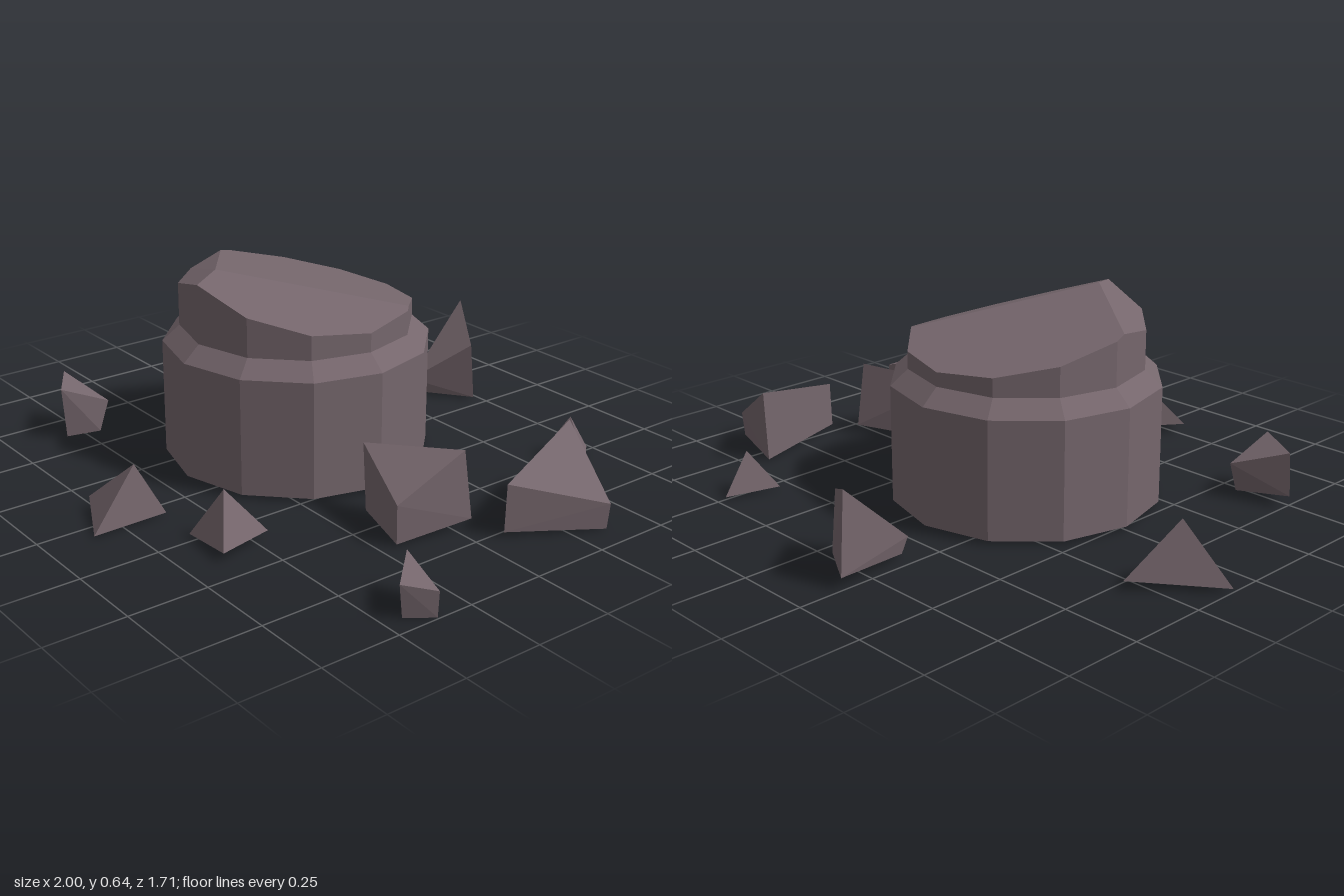
import * as THREE from 'three';
import { ConvexGeometry } from 'three/addons/geometries/ConvexGeometry.js';

const stone = new THREE.MeshStandardMaterial({ color: 0x75666c, flatShading: true });
stone.name = 'dusty stone';

// Three sloping break planes meet at the peak of the stump
const PEAK = [-0.15, 0.64, 0.27];
const SLOPES = [[-0.008, 0.25], [-0.345, 0], [0.39, -0.3]];
const breakHeight = (x, z) => Math.min(
  ...SLOPES.map(([a, b]) => PEAK[1] + a * (x - PEAK[0]) + b * (z - PEAK[2])));

// Twelve-sided column stump, lofted from one ring and capped with the break
function columnStump() {
  const cx = -0.1, neck = 0.37;
  const ring = [];
  for (let i = 0; i < 12; i++) {
    const t = (i / 12) * Math.PI * 2;
    ring.push([Math.cos(t) * neck, Math.sin(t) * neck]);
  }
  // extra points where the break ridges reach the rim
  const extra = (i, f) => {
    const p = ring[i], q = ring[(i + 1) % 12];
    return [p[0] + (q[0] - p[0]) * f, p[1] + (q[1] - p[1]) * f];
  };
  const ridgeRight = extra(10, 0.83), ridgeLeft = extra(5, 0.77);
  ring.splice(11, 0, ridgeRight);
  ring.splice(6, 0, ridgeLeft);

  const layer = (r, y) => ring.map(([x, z]) => [cx + x * r / neck, y, z * r / neck]);
  const layers = [layer(0.425, 0.012), layer(0.425, 0.385), layer(neck, 0.435),
    layer(neck, 0).map(([x, , z]) => [x, breakHeight(x, z), z])];

  const pos = [];
  const tri = (...pts) => pts.forEach((p) => pos.push(...p));
  const n = ring.length;
  for (let i = 0; i < n; i++) {
    const j = (i + 1) % n;
    for (let k = 0; k < 3; k++) {
      const lo = layers[k], hi = layers[k + 1];
      tri(lo[i], hi[i], lo[j]);
      tri(lo[j], hi[i], hi[j]);
    }
    tri(PEAK, layers[3][j], layers[3][i]);
    tri([cx, 0.012, 0], layers[0][i], layers[0][j]);
  }
  const geo = new THREE.BufferGeometry();
  geo.setAttribute('position', new THREE.Float32BufferAttribute(pos, 3));
  geo.computeVertexNormals();
  return geo;
}

// Corner points of the scattered fragments
const SHARDS = [ // four-cornered
  [[-1, 0.01, -0.1], [-0.785, 0.03, -0.31], [-0.79, 0, -0.085], [-0.87, 0.2, -0.17]],
  [[-0.12, 0.035, 0.76], [0.07, 0.01, 0.61], [0.065, 0.005, 0.85], [0.04, 0.18, 0.695]],
  [[0.225, 0.01, 0.63], [0.36, 0.02, 0.45], [0.415, 0.03, 0.64], [0.31, 0.165, 0.565]],
  [[0.495, 0.01, -0.725], [0.575, 0.01, -0.635], [0.45, 0.01, -0.55], [0.5, 0.14, -0.635]],
];
const WEDGES = [ // six-cornered
  [[-0.24, 0.29, -0.835], [-0.05, 0.2, -0.715], [-0.205, 0.06, -0.58],
    [-0.245, 0.035, -0.855], [-0.045, 0.005, -0.73], [-0.2, 0.01, -0.6]],
  [[-0.75, 0.175, 0.49], [-0.595, 0.18, 0.585], [-0.575, 0.11, 0.425],
    [-0.765, 0.04, 0.48], [-0.61, 0.005, 0.565], [-0.575, 0.01, 0.46]],
  [[0.385, 0.215, 0.12], [0.665, 0.25, -0.025], [0.635, 0.13, 0.2],
    [0.4, 0, 0.12], [0.675, 0.03, -0.05], [0.63, 0.005, 0.195]],
  [[0.675, 0.24, -0.44], [0.775, 0.165, -0.09], [0.93, 0.085, -0.355],
    [0.675, 0.005, -0.43], [0.775, 0.015, -0.085], [0.925, 0.005, -0.35]],
  [[0.845, 0.13, 0.345], [1, 0.08, 0.365], [0.945, 0.105, 0.455],
    [0.85, 0.01, 0.345], [0.995, 0, 0.365], [0.94, 0, 0.44]],
];

export function createModel() {
  const model = new THREE.Group();
  model.name = 'brokenColumn';

  const stump = new THREE.Mesh(columnStump(), stone);
  stump.name = 'columnStump';
  model.add(stump);

  const rubble = new THREE.Group();
  rubble.name = 'rubble';
  const scatter = (list, name) => list.forEach((corners, i) => {
    const geo = new ConvexGeometry(corners.map((c) => new THREE.Vector3(...c)));
    const mesh = new THREE.Mesh(geo, stone);
    mesh.name = name + (i + 1);
    rubble.add(mesh);
  });
  scatter(SHARDS, 'shard');
  scatter(WEDGES, 'wedge');
  model.add(rubble);
  return model;
}
